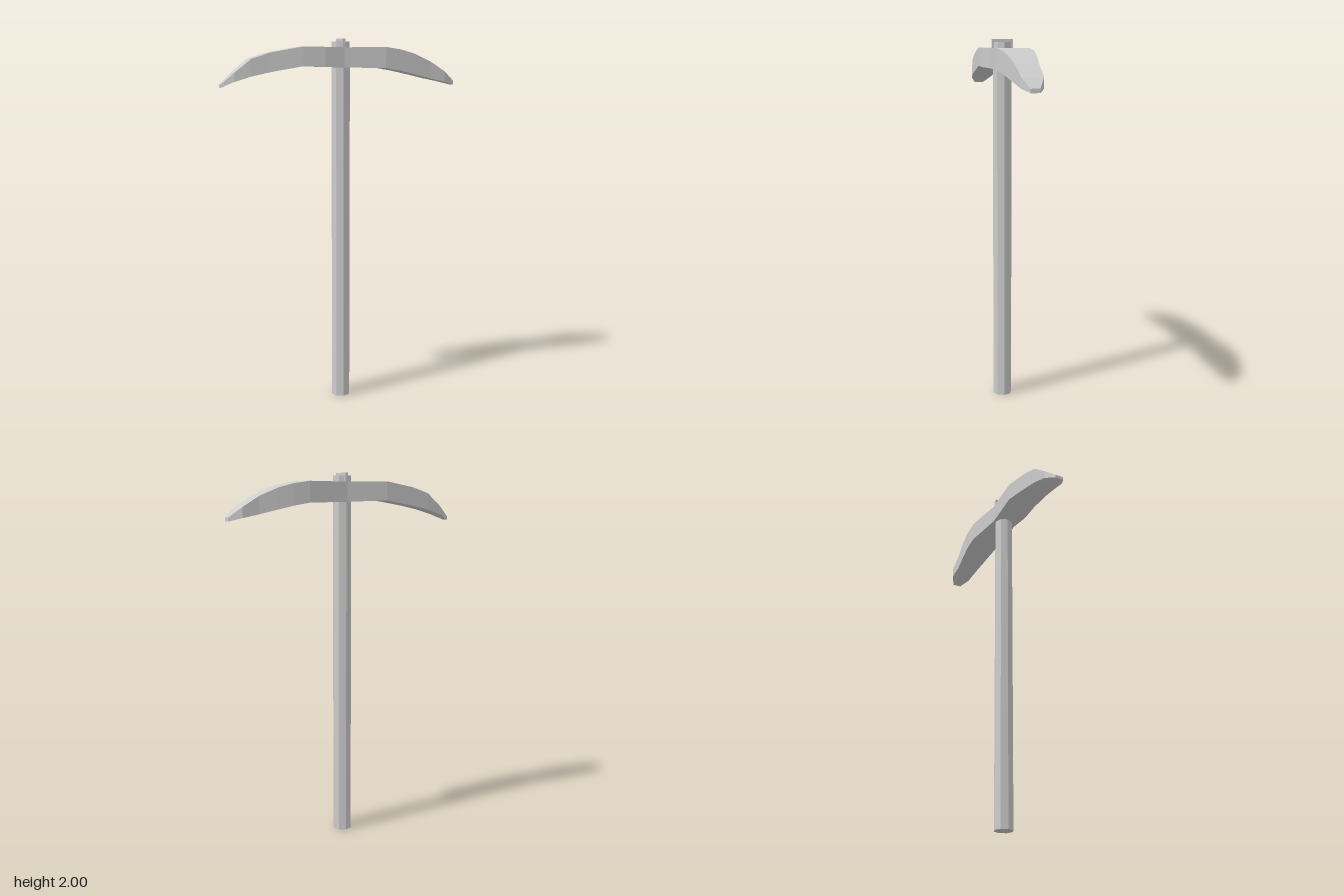
import * as THREE from 'three';

const material = new THREE.MeshStandardMaterial({ color: 0xcccccc, flatShading: true });

function addPart(group, name, geometry, y = 0) {
  const mesh = new THREE.Mesh(geometry, material);
  mesh.name = name;
  mesh.position.y = y;
  group.add(mesh);
}

// Closed skin over four-cornered cross-sections: [x, bottom, top, back z, front z]
function loftSections(sections) {
  const positions = [];
  const index = [];
  for (const [x, bottom, top, back, front] of sections) {
    positions.push(x, bottom, back, x, bottom, front, x, top, front, x, top, back);
  }
  for (let s = 0; s < sections.length - 1; s++) {
    for (let k = 0; k < 4; k++) {
      const a = s * 4 + k, b = s * 4 + (k + 1) % 4;
      index.push(a, a + 4, b, b, a + 4, b + 4);
    }
  }
  const e = (sections.length - 1) * 4;
  index.push(0, 1, 2, 0, 2, 3, e, e + 2, e + 1, e, e + 3, e + 2);
  const geometry = new THREE.BufferGeometry();
  geometry.setAttribute('position', new THREE.Float32BufferAttribute(positions, 3));
  geometry.setIndex(index);
  const flat = geometry.toNonIndexed();
  flat.computeVertexNormals();
  return flat;
}

export function createModel() {
  const group = new THREE.Group();
  group.name = 'pickaxe';

  // Eight-sided handle, running up into the head
  addPart(group, 'handle', new THREE.CylinderGeometry(0.052, 0.052, 1.9, 8), 0.95);

  // Curved head, narrow at the eye and tapering to both tips
  addPart(group, 'head', loftSections([
    [-0.655, 1.745, 1.762, -0.030, 0.018],
    [-0.59, 1.775, 1.820, -0.058, 0.050],
    [-0.50, 1.803, 1.893, -0.067, 0.061],
    [-0.40, 1.825, 1.925, -0.072, 0.067],
    [-0.23, 1.855, 1.956, -0.083, 0.083],
    [-0.11, 1.851, 1.955, -0.074, 0.086],
    [0.00, 1.848, 1.953, -0.065, 0.070],
    [0.23, 1.845, 1.956, -0.090, 0.083],
    [0.32, 1.830, 1.943, -0.088, 0.074],
    [0.40, 1.812, 1.922, -0.080, 0.066],
    [0.50, 1.788, 1.880, -0.066, 0.054],
    [0.59, 1.770, 1.825, -0.065, 0.048],
    [0.655, 1.752, 1.773, -0.030, 0.018],
  ]));

  // Handle end showing above the head, with the wedge driven into it
  addPart(group, 'handleCap', new THREE.CylinderGeometry(0.05, 0.05, 0.085, 8), 1.9425);
  addPart(group, 'wedge', new THREE.BoxGeometry(0.016, 0.05, 0.114), 1.975);

  return group;
}
